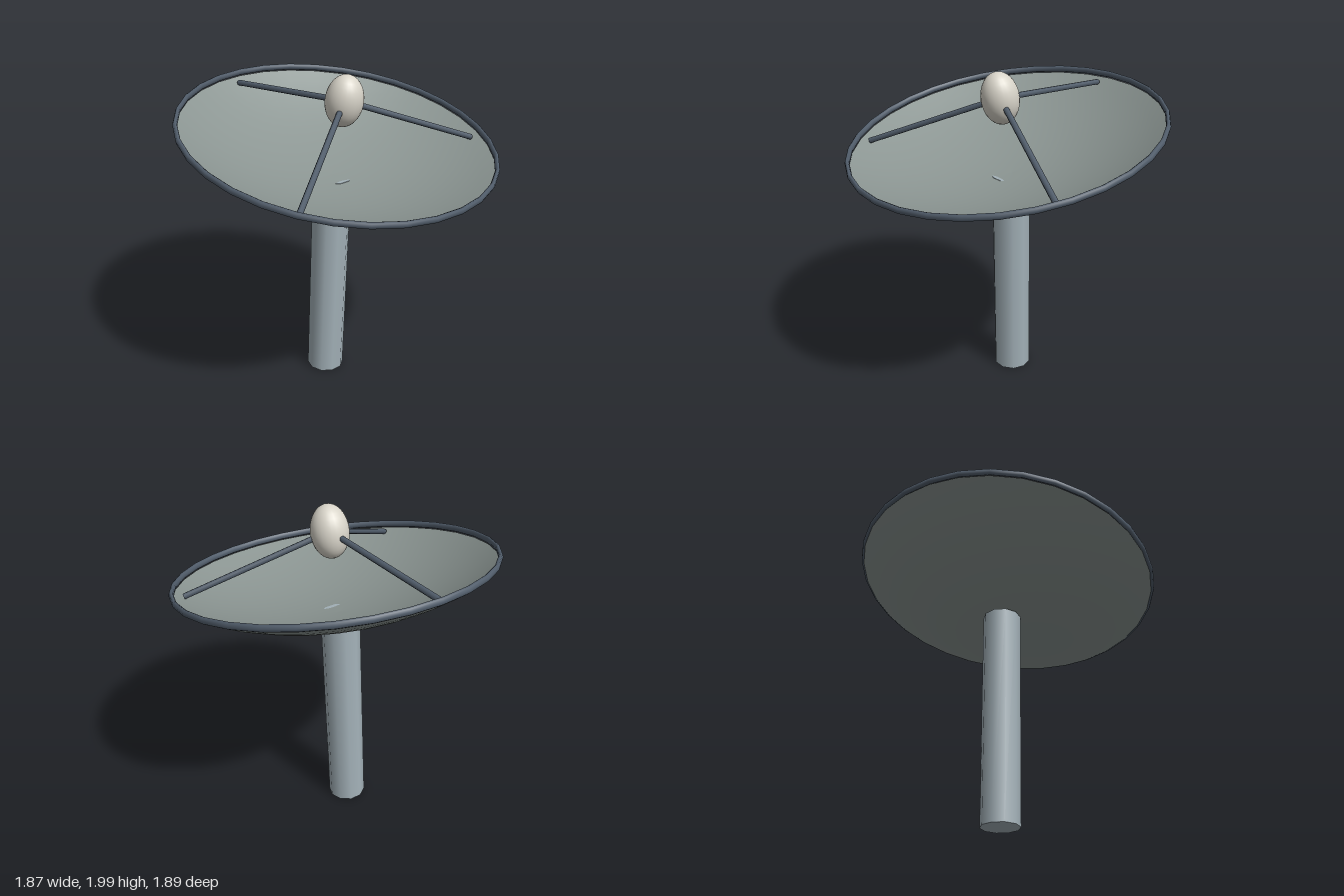
import * as THREE from 'three';

const mat = (name, color, side = THREE.FrontSide) => {
  const m = new THREE.MeshStandardMaterial({ color, side });
  m.name = name;
  return m;
};

export function createModel() {
  const mastGrey = mat('mast blue grey', 0xa3b1b8);
  const dishGrey = mat('dish grey', 0x8c9693, THREE.DoubleSide);
  const darkSteel = mat('dark steel', 0x515d6b);
  const cream = mat('feed cream', 0xd8d4c9);

  const model = new THREE.Group();
  model.name = 'dishAntenna';
  const add = (parent, name, geometry, material) => {
    const mesh = new THREE.Mesh(geometry, material);
    mesh.name = name;
    parent.add(mesh);
    return mesh;
  };

  // Slightly leaning ten-sided mast
  const mast = add(model, 'mast', new THREE.CylinderGeometry(0.1165, 0.1165, 1.35, 10), mastGrey);
  mast.position.set(-0.073, 0.68, -0.022);
  mast.rotation.z = -0.04;

  // Tilted head: its origin is the centre of the rim
  const head = new THREE.Group();
  head.name = 'dishHead';
  head.position.y = 1.635;
  head.quaternion.setFromUnitVectors(
    new THREE.Vector3(0, 1, 0),
    new THREE.Vector3(0.172, 0.979, 0.106).normalize()
  );
  model.add(head);

  // Shallow spherical bowl, its edge just below the rim
  const R = 0.93, depth = 0.25, edgeY = -0.023;
  const S = (R * R + depth * depth) / (2 * depth);
  const profile = [];
  for (let i = 0; i <= 12; i++) {
    const a = Math.asin(R / S) * i / 12;
    profile.push(new THREE.Vector2(S * Math.sin(a), edgeY - depth + S * (1 - Math.cos(a))));
  }
  add(head, 'dish', new THREE.LatheGeometry(profile, 32), dishGrey);

  // Rim ring, taller than it is wide
  const rim = new THREE.TorusGeometry(0.935, 0.014, 8, 32);
  rim.rotateX(Math.PI / 2);
  rim.scale(1, 1.5, 1);
  add(head, 'rim', rim, darkSteel);

  // Egg-shaped feed
  const feedY = 0.21;
  const feedGeometry = new THREE.SphereGeometry(0.112, 24, 16);
  feedGeometry.scale(1, 1.4, 1);
  add(head, 'feed', feedGeometry, cream).position.y = feedY;

  // Three struts from the bowl to the feed
  const up = new THREE.Vector3(0, 1, 0);
  const top = new THREE.Vector3(0, feedY, 0);
  for (let i = 0; i < 3; i++) {
    const a = Math.PI / 2 + i * Math.PI * 2 / 3;
    const foot = new THREE.Vector3(0.87 * Math.cos(a), -0.035, 0.87 * Math.sin(a));
    const dir = top.clone().sub(foot);
    const strut = add(head, 'strut' + (i + 1),
      new THREE.CylinderGeometry(0.0175, 0.0175, dir.length(), 8), darkSteel);
    strut.position.copy(foot).add(top).multiplyScalar(0.5);
    strut.quaternion.setFromUnitVectors(up, dir.normalize());
  }

  return model;
}
